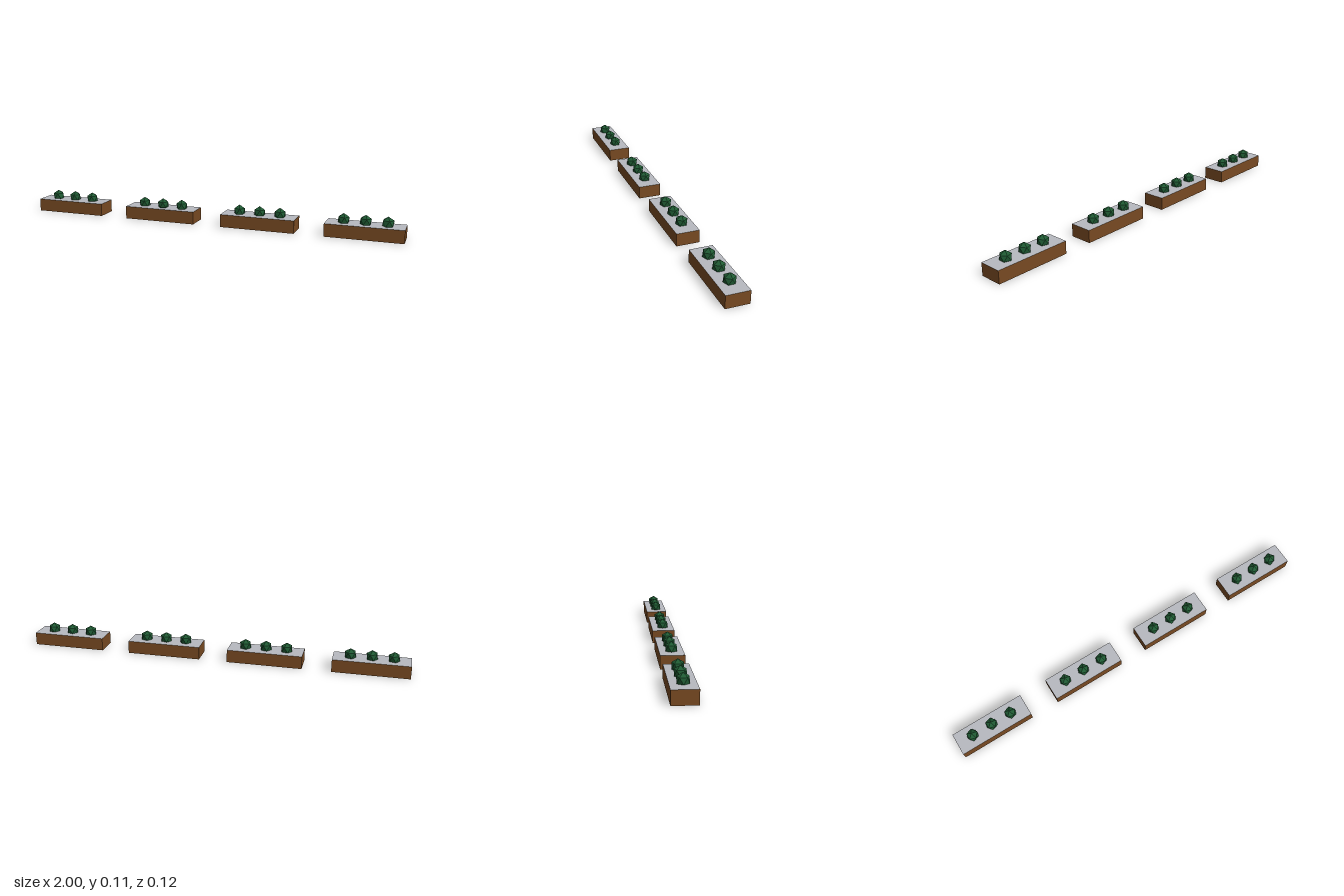
import * as THREE from 'three';

export function createModel() {
  const mat = (name, color) => {
    const m = new THREE.MeshStandardMaterial({ color });
    m.name = name;
    return m;
  };
  const wood = mat('brown wood', 0x784a22);
  const bed = mat('pale grey bed', 0xb8bac0);
  const leaf = mat('dark green leaf', 0x1f5a33);
  leaf.flatShading = true;

  const boxH = 0.066;
  const boxGeo = new THREE.BoxGeometry(0.388, boxH, 0.117);
  // Low-poly shrub: icosahedron turned so one corner points straight up
  const shrubGeo = new THREE.IcosahedronGeometry(0.032, 0);
  shrubGeo.rotateZ(-Math.atan(2 / (1 + Math.sqrt(5))));

  const model = new THREE.Group();
  model.name = 'planterRow';

  for (let i = 0; i < 4; i++) {
    const planter = new THREE.Group();
    planter.name = `planter${i + 1}`;
    planter.position.x = (i - 1.5) * 0.5373;

    // Wooden trough with a pale top face
    const trough = new THREE.Mesh(boxGeo, [wood, wood, bed, wood, wood, wood]);
    trough.name = 'trough';
    trough.position.y = boxH / 2;
    planter.add(trough);

    // Three shrubs partly sunk into the bed
    for (let j = -1; j <= 1; j++) {
      const shrub = new THREE.Mesh(shrubGeo, leaf);
      shrub.name = `shrub${j + 2}`;
      shrub.position.set(j * 0.1075, 0.081, 0);
      planter.add(shrub);
    }
    model.add(planter);
  }
  return model;
}
